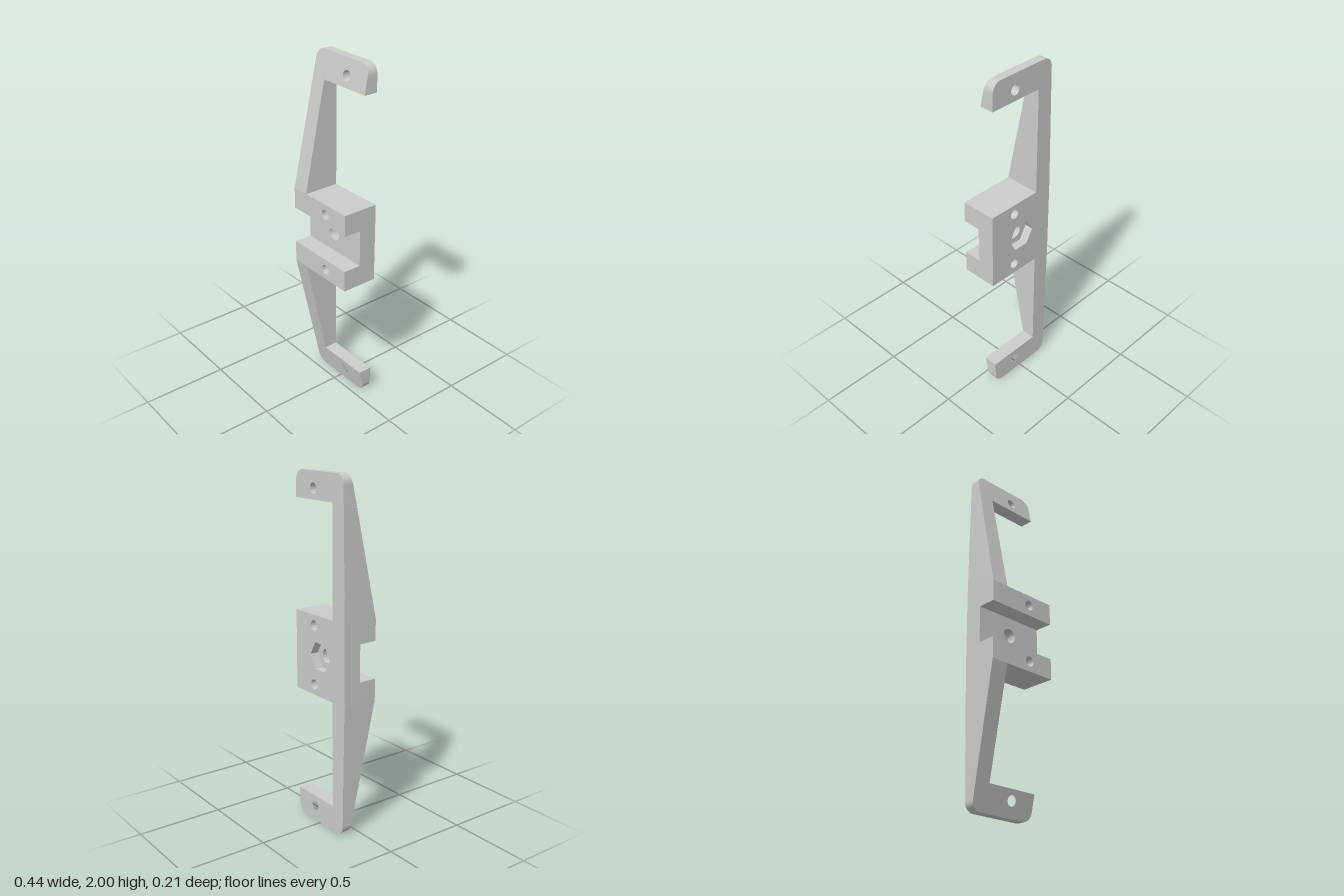
import * as THREE from 'three';
import { toCreasedNormals } from 'three/addons/utils/BufferGeometryUtils.js';

const BACK = -0.105, FLOOR = 0, FRONT = 0.105; // z levels
const HALF = 0.22, BLOCK_BOTTOM = 0.77, BLOCK_TOP = 1.23;
const HOLE_X = 0.053, HOLE_R = 0.029;
const material = new THREE.MeshStandardMaterial({ color: 0xcccccc });

function circle(x, y, r) {
  return new THREE.Path().absarc(x, y, r, 0, Math.PI * 2, true);
}

function hexagon(x, y, r) {
  const pts = [];
  for (let i = 0; i < 6; i++) {
    const a = (i * Math.PI) / 3;
    pts.push(new THREE.Vector2(x + r * Math.cos(a), y + r * Math.sin(a)));
  }
  return new THREE.Path(pts);
}

// Extrudes an outline with holes from z0 to z1; frontZ(y) may slope the front face
function plate(name, shape, holes, z0, z1, frontZ) {
  shape.holes.push(...holes);
  let geo = new THREE.ExtrudeGeometry(shape, { depth: z1 - z0, bevelEnabled: false, curveSegments: 16 });
  geo.translate(0, 0, z0);
  if (frontZ) {
    const p = geo.attributes.position;
    for (let i = 0; i < p.count; i++) {
      if (p.getZ(i) > z0 + 1e-4) p.setZ(i, frontZ(p.getY(i)));
    }
  }
  geo = toCreasedNormals(geo, 0.6);
  const mesh = new THREE.Mesh(geo, material);
  mesh.name = name;
  return mesh;
}

function rect(y0, y1) {
  return new THREE.Shape([
    new THREE.Vector2(-HALF, y0), new THREE.Vector2(HALF, y0),
    new THREE.Vector2(HALF, y1), new THREE.Vector2(-HALF, y1),
  ]);
}

// L-shaped arm with a rounded foot; s = 1 goes up, s = -1 goes down
function arm(name, s) {
  const Y = (d) => 1 + s * d; // d = distance from the middle height
  const r = 0.055, k = 0.45 * r, e = 0.207;
  const shape = new THREE.Shape();
  shape.moveTo(-HALF, Y(0.23));
  shape.lineTo(-0.115, Y(0.23));
  shape.lineTo(-0.115, Y(0.85));
  shape.lineTo(0.209, Y(0.85));
  shape.lineTo(e, Y(1 - r));
  shape.bezierCurveTo(e, Y(1 - k), e - k, Y(1), e - r, Y(1));
  shape.lineTo(-e + r, Y(1));
  shape.bezierCurveTo(-e + k, Y(1), -e, Y(1 - k), -e, Y(1 - r));
  shape.closePath();
  const slope = (y) => FRONT - ((Math.abs(y - 1) - 0.23) / 0.77) * 0.16;
  return plate(name, shape, [circle(HOLE_X, Y(0.91), HOLE_R)], BACK, FRONT, slope);
}

export function createModel() {
  const model = new THREE.Group();
  model.name = 'bracket';
  const small = () => [0.83, 1.17].map((y) => circle(HOLE_X, y, HOLE_R));
  const recess = -0.055;

  // Centre block: back layer with nut pocket, then layer with bolt hole
  model.add(plate('nutPocketPlate', rect(BLOCK_BOTTOM, BLOCK_TOP),
    [hexagon(0, 1, 0.088), ...small()], BACK, recess));
  model.add(plate('boltHolePlate', rect(BLOCK_BOTTOM, BLOCK_TOP),
    [circle(0, 1, 0.042), ...small()], recess, FLOOR));

  // Rails on either side of the front channel
  model.add(plate('lowerRail', rect(BLOCK_BOTTOM, 0.893), [circle(HOLE_X, 0.83, HOLE_R)], FLOOR, FRONT));
  model.add(plate('upperRail', rect(1.107, BLOCK_TOP), [circle(HOLE_X, 1.17, HOLE_R)], FLOOR, FRONT));

  // Tapering arms
  model.add(arm('upperArm', 1), arm('lowerArm', -1));
  return model;
}
